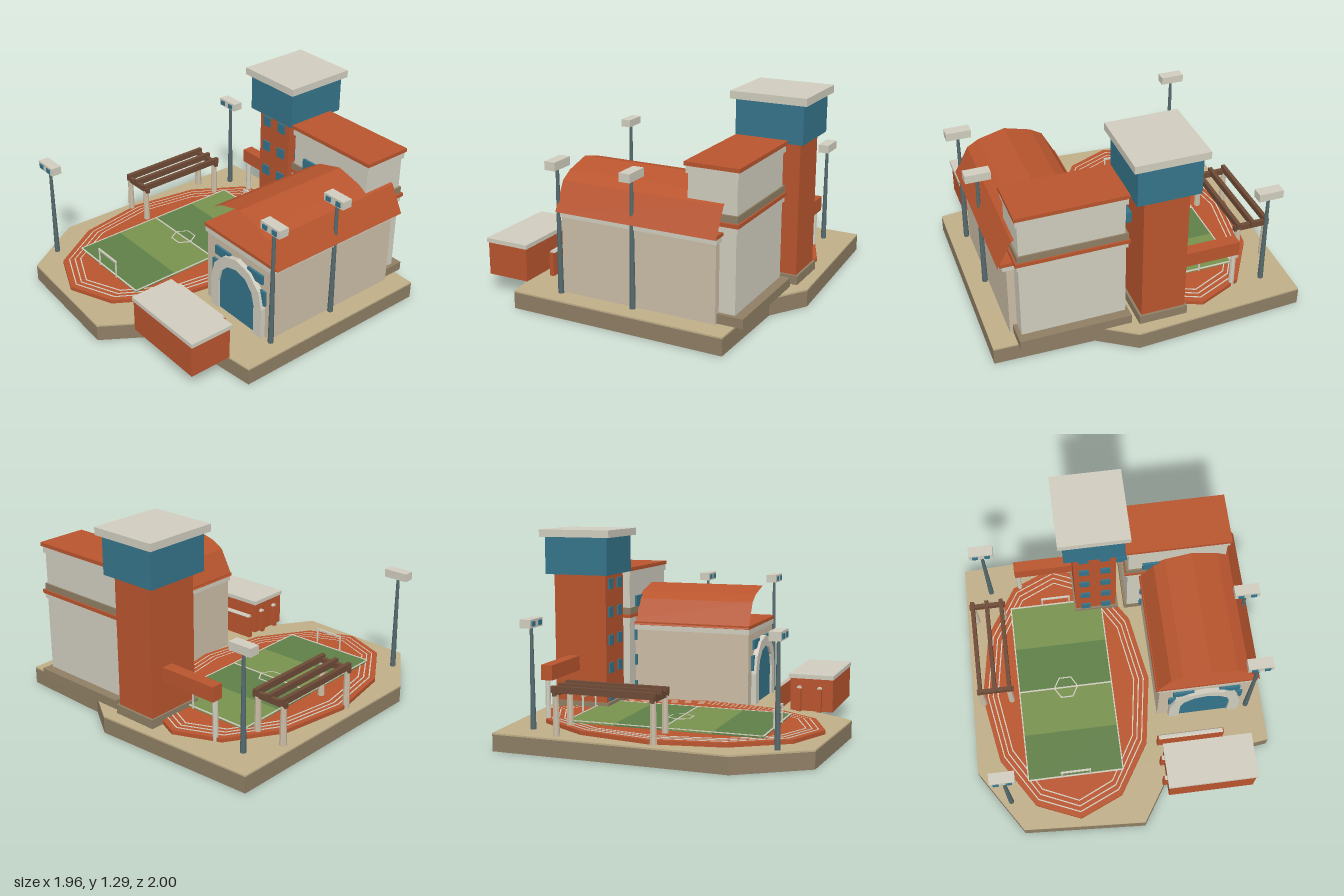
import * as THREE from 'three';

const C = { orange: 0xb9552e, cream: 0xd0ccbe, tan: 0xcbbda6, blue: 0x35748a, brown: 0x8e7e64, sand: 0xbfae88,
  grass: 0x78934f, darkGrass: 0x5f7f47, wood: 0x6d4a36, steel: 0x566a6e };
const mats = {};
const mat = (c) => (mats[c] ??= new THREE.MeshStandardMaterial({ color: C[c], flatShading: true }));

export function createModel() {
  const root = new THREE.Group();

  const add = (name, geo, color, parent = root) => {
    const m = new THREE.Mesh(geo, mat(color));
    m.name = name;
    parent.add(m);
    return m;
  };
  // box given by its limits on each axis
  const box = (name, color, x0, x1, y0, y1, z0, z1, parent) => {
    const m = add(name, new THREE.BoxGeometry(x1 - x0, y1 - y0, z1 - z0), color, parent);
    m.position.set((x0 + x1) / 2, (y0 + y1) / 2, (z0 + z1) / 2);
    return m;
  };
  const post = (name, color, x, z, y0, y1, rTop, rBottom, parent) => {
    const m = add(name, new THREE.CylinderGeometry(rTop, rBottom, y1 - y0, 8), color, parent);
    m.position.set(x, (y0 + y1) / 2, z);
    return m;
  };
  // horizontal slab from an outline of [x, z] points, with an optional hole
  const slab = (name, color, outline, y0, y1, hole) => {
    const toV = (pts) => pts.map(([x, z]) => new THREE.Vector2(x, -z));
    const s = new THREE.Shape(toV(outline));
    if (hole) s.holes.push(new THREE.Path(toV(hole)));
    const g = new THREE.ExtrudeGeometry(s, { depth: y1 - y0, bevelEnabled: false });
    g.rotateX(-Math.PI / 2).translate(0, y0, 0);
    return add(name, g, color);
  };
  const group = (name) => {
    const g = new THREE.Group();
    g.name = name;
    root.add(g);
    return g;
  };

  // ground
  const ground = [[-0.95, -0.95], [0.13, -1], [0.36, -0.85], [0.98, -0.835], [0.98, 0.545], [0.33, 0.625],
    [0.085, 1], [-0.71, 0.95], [-0.98, 0.53]];
  slab('groundBase', 'brown', ground, 0, 0.102);
  slab('groundTop', 'sand', ground, 0.102, 0.112);

  // running track with lane lines
  const cx = -0.33, cz = 0.018;
  const ring = (rx, rz, n) => Array.from({ length: n }, (_, i) => {
    const a = (i / n) * Math.PI * 2;
    return [cx + rx * Math.cos(a), cz + rz * Math.sin(a)];
  });
  slab('track', 'orange', ring(0.57, 0.905, 12), 0.112, 0.137);
  for (let k = 1; k <= 3; k++) {
    const rx = 0.57 - k * 0.033, rz = 0.905 - k * 0.038;
    slab('laneLine', 'cream', ring(rx, rz, 12), 0.137, 0.14, ring(rx - 0.008, rz - 0.008, 12));
  }

  // playing field: stripes, lines, goals
  const fx0 = -0.648, fx1 = -0.017, fz0 = -0.605, fz1 = 0.635;
  const stripe = (fz1 - fz0) / 4;
  for (let i = 0; i < 4; i++)
    box('fieldStripe', i % 2 ? 'darkGrass' : 'grass', fx0, fx1, 0.12, 0.15, fz0 + i * stripe, fz0 + (i + 1) * stripe);
  for (const z of [fz0, cz, fz1]) box('fieldLine', 'cream', fx0, fx1, 0.148, 0.153, z - 0.005, z + 0.005);
  for (const x of [fx0, fx1]) box('fieldLine', 'cream', x - 0.004, x + 0.004, 0.148, 0.153, fz0, fz1);
  slab('centreCircle', 'cream', ring(0.084, 0.084, 6), 0.148, 0.153, ring(0.075, 0.075, 6));
  for (const z of [fz0, fz1]) {
    const goal = group('goal');
    for (const s of [-1, 1]) post('goalPost', 'cream', cx + s * 0.094, z, 0.13, 0.255, 0.006, 0.006, goal);
    box('goalBar', 'cream', cx - 0.1, cx + 0.1, 0.248, 0.26, z - 0.006, z + 0.006, goal);
  }

  // tower
  const tower = group('tower');
  box('towerPlinth', 'brown', -0.205, 0.1, 0.112, 0.17, -0.92, -0.53, tower);
  box('towerShaft', 'orange', -0.193, 0.085, 0.15, 1, -0.905, -0.545, tower);
  box('towerTopRoom', 'blue', -0.25, 0.14, 1, 1.24, -0.94, -0.51, tower);
  box('towerRoof', 'cream', -0.28, 0.17, 1.24, 1.287, -0.967, -0.483, tower);
  for (let i = 0; i < 5; i++)
    for (const x of [-0.125, 0.015])
      box('towerWindow', 'blue', x - 0.032, x + 0.032, 0.175 + i * 0.1825, 0.242 + i * 0.1825, -0.55, -0.535, tower);
  box('linkBridge', 'blue', 0.08, 0.18, 0.73, 0.8, -0.72, -0.6, tower);
  box('towerCanopy', 'orange', -0.587, -0.19, 0.375, 0.47, -0.81, -0.735, tower);
  post('canopyPost', 'cream', -0.57, -0.772, 0.112, 0.38, 0.017, 0.017, tower);

  // rear block, two storeys with cornices
  const rear = group('rearBlock');
  box('rearPlinth', 'brown', 0.14, 0.83, 0.112, 0.17, -0.91, -0.51, rear).scale.z = 0.9;
  box('rearLowerWall', 'cream', 0.16, 0.805, 0.15, 0.66, -0.83, -0.53, rear);
  box('rearLowerCornice', 'cream', 0.15, 0.815, 0.65, 0.69, -0.84, -0.522, rear);
  box('rearLowerRoof', 'orange', 0.14, 0.825, 0.685, 0.708, -0.85, -0.515, rear);
  box('rearBand', 'brown', 0.148, 0.812, 0.708, 0.75, -0.84, -0.52, rear);
  box('rearUpperWall', 'cream', 0.165, 0.8, 0.75, 0.96, -0.83, -0.53, rear);
  box('rearUpperCornice', 'cream', 0.152, 0.812, 0.955, 1, -0.84, -0.522, rear);
  box('rearRoof', 'orange', 0.145, 0.82, 0.998, 1.022, -0.85, -0.515, rear);
  for (const x of [0.255, 0.568]) box('rearWindow', 'blue', x, x + 0.143, 0.75, 0.823, -0.535, -0.515, rear);
  for (const y of [0.17, 0.35, 0.52]) box('rearLowerWindow', 'blue', 0.245, 0.39, y, y + 0.072, -0.535, -0.515, rear);

  // sports hall with vaulted roof
  const hall = group('hall');
  const hx = 0.57;
  box('hallWall', 'tan', 0.262, 0.85, 0.112, 0.6, -0.73, 0.272, hall);
  box('hallCornice', 'cream', 0.25, 0.875, 0.593, 0.63, -0.745, 0.28, hall);
  box('hallCeiling', 'orange', 0.24, 0.89, 0.628, 0.65, -0.752, 0.282, hall);
  const half = [[0.335, 0.63], [0.245, 0.8], [0.17, 0.845], [0, 0.89]];
  const vault = [...half, ...half.slice(0, -1).reverse().map(([x, y]) => [-x, y])];
  const pos = [];
  for (let i = 0; i + 1 < vault.length; i++) {
    const [a, b, c, d] = [[i, 0.28], [i, -0.755], [i + 1, -0.755], [i + 1, 0.28]]
      .map(([k, z]) => [hx + vault[k][0], vault[k][1], z]);
    pos.push(...a, ...b, ...c, ...a, ...c, ...d);
  }
  const roofGeo = new THREE.BufferGeometry();
  roofGeo.setAttribute('position', new THREE.Float32BufferAttribute(pos, 3));
  roofGeo.computeVertexNormals();
  add('hallVaultRoof', roofGeo, 'orange', hall);
  for (const s of [-1, 1]) {
    const u = hx + s * 0.15, l = hx + s * 0.175;
    box('hallUpperWindow', 'blue', u - 0.068, u + 0.068, 0.482, 0.542, 0.265, 0.287, hall);
    box('hallLowerWindow', 'blue', l - 0.068, l + 0.068, 0.34, 0.44, 0.265, 0.287, hall);
  }
  // entrance arch: legs plus a six-sided half ring
  const archLine = (r) => [[r, 0.112], ...Array.from({ length: 7 }, (_, i) => {
    const a = (i * Math.PI) / 6;
    return [r * Math.cos(a), 0.315 + r * Math.sin(a)];
  }), [-r, 0.112]];
  const archGeo = (pts, depth, z) => new THREE.ExtrudeGeometry(
    new THREE.Shape(pts.map(([x, y]) => new THREE.Vector2(x, y))), { depth, bevelEnabled: false }).translate(hx, 0, z);
  add('entranceArch', archGeo([...archLine(0.235), ...archLine(0.165).reverse()], 0.04, 0.265), 'cream', hall);
  add('entranceGlass', archGeo(archLine(0.166), 0.025, 0.265), 'blue', hall);

  // gate house
  box('gateHouse', 'orange', 0.262, 0.825, 0.112, 0.325, 0.56, 0.84);
  box('gateHouseRoof', 'cream', 0.252, 0.837, 0.325, 0.352, 0.55, 0.845);

  // barriers with a rounded rail
  for (const z of [0.48, 0.62, 0.755]) {
    const barrier = group('barrier');
    box('barrierPanel', 'orange', 0.232, 0.675, 0.112, 0.262, z - 0.014, z + 0.014, barrier);
    const rail = add('barrierRail', new THREE.CylinderGeometry(0.016, 0.016, 0.425, 6), 'cream', barrier);
    rail.rotation.z = Math.PI / 2;
    rail.position.set(0.4535, 0.262, z);
  }

  // floodlights
  for (const [x, z, top] of [[-0.777, 0.75, 0.785], [-0.777, -0.767, 0.785], [0.87, -0.213, 0.943], [0.87, 0.28, 0.943]]) {
    const light = group('floodlight');
    post('floodlightPole', 'steel', x, z, 0.112, top - 0.04, 0.01, 0.018, light);
    box('floodlightHead', 'cream', x - 0.079, x + 0.079, top - 0.052, top, z - 0.036, z + 0.034, light);
    for (const s of [-0.04, 0.04])
      box('floodlightLamp', 'blue', x + s - 0.018, x + s + 0.018, top - 0.042, top - 0.012, z + 0.03, z + 0.041, light);
  }

  // pergola
  const pergola = group('pergola');
  for (const z of [-0.555, 0.055]) {
    for (const x of [-0.893, -0.705]) post('pergolaPost', 'tan', x, z, 0.112, 0.36, 0.018, 0.022, pergola);
    box('pergolaCrossBeam', 'wood', -0.915, -0.675, 0.352, 0.39, z - 0.013, z + 0.013, pergola);
  }
  for (const x of [-0.893, -0.797, -0.7])
    box('pergolaLongBeam', 'wood', x - 0.013, x + 0.013, 0.37, 0.41, -0.58, 0.075, pergola);

  return root;
}
